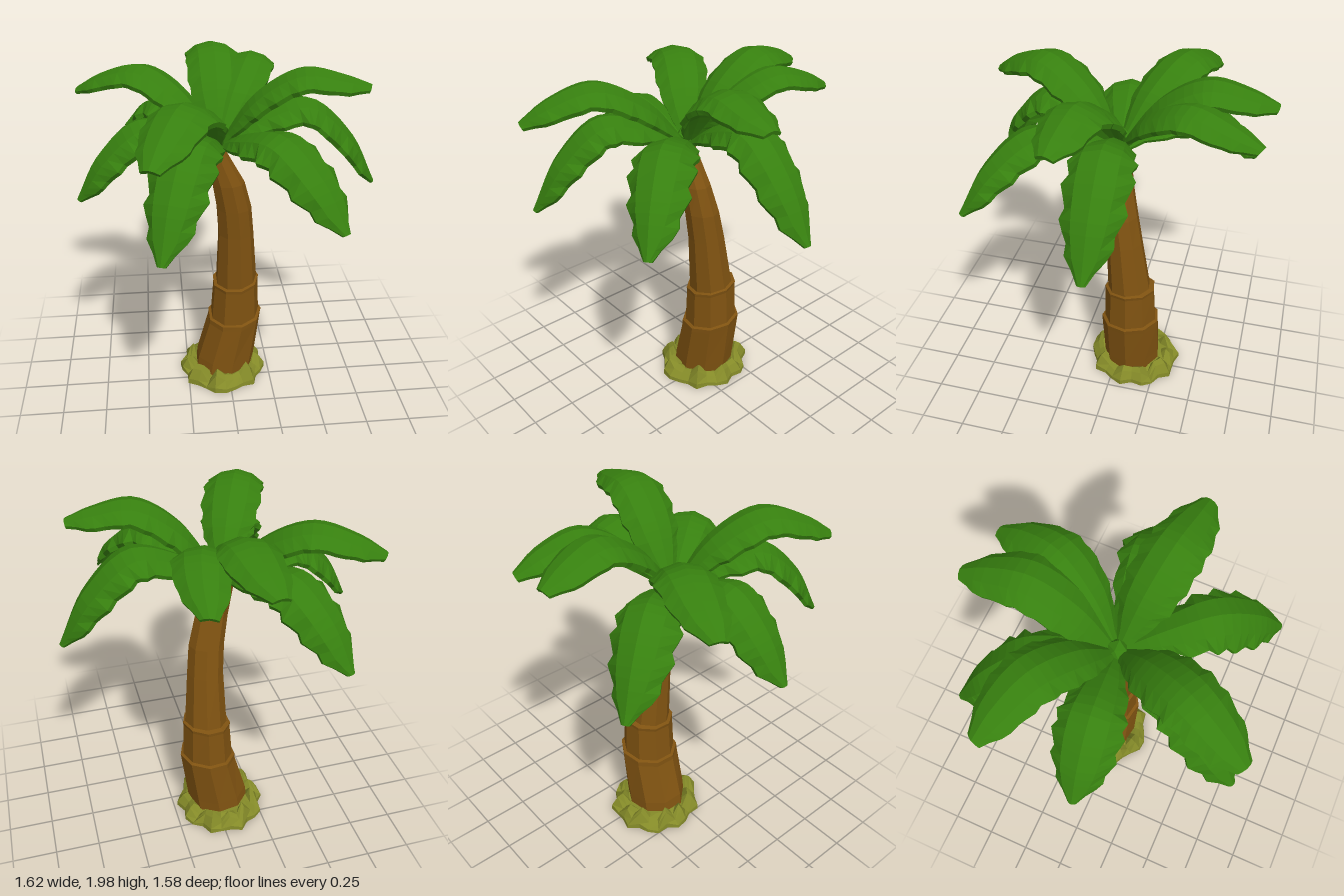
import * as THREE from 'three';

const leafGreen = new THREE.MeshStandardMaterial({ color: 0x37800f });
leafGreen.name = 'leaf green';
const barkBrown = new THREE.MeshStandardMaterial({ color: 0x805311 });
barkBrown.name = 'bark brown';
const grassOlive = new THREE.MeshStandardMaterial({ color: 0x848a28 });
grassOlive.name = 'grass olive';

// Faceted skin over closed rings of points, capped at both ends
function loft(rings) {
  const pos = [];
  const tri = (...pts) => pts.forEach((p) => pos.push(p.x, p.y, p.z));
  const n = rings[0].length;
  for (let i = 0; i < rings.length - 1; i++) {
    for (let j = 0; j < n; j++) {
      const k = (j + 1) % n;
      const [a, b, c, d] = [rings[i][j], rings[i][k], rings[i + 1][k], rings[i + 1][j]];
      tri(a, b, c);
      tri(a, c, d);
    }
  }
  const cap = (ring, flip) => {
    const mid = ring.reduce((s, p) => s.add(p), new THREE.Vector3()).divideScalar(n);
    ring.forEach((p, j) => {
      const q = ring[(j + 1) % n];
      if (flip) tri(mid, q, p);
      else tri(mid, p, q);
    });
  };
  cap(rings[0], true);
  cap(rings[rings.length - 1], false);
  const g = new THREE.BufferGeometry();
  g.setAttribute('position', new THREE.Float32BufferAttribute(pos, 3));
  g.computeVertexNormals();
  return g;
}

function mesh(name, geometry, material) {
  const m = new THREE.Mesh(geometry, material);
  m.name = name;
  return m;
}

// Leaning trunk: three sleeves, each overhanging the next; [x, y, z, rx, rz]
function trunk() {
  const sides = 9;
  const rows = [
    [-0.025, 0.065, -0.09, 0.18, 0.172], [-0.015, 0.14, -0.09, 0.18, 0.172],
    [0.037, 0.4, -0.09, 0.161, 0.172], [0.04, 0.43, -0.09, 0.163, 0.172], [0.04, 0.435, -0.09, 0.146, 0.153],
    [0.045, 0.65, -0.087, 0.134, 0.146], [0.045, 0.67, -0.087, 0.138, 0.148], [0.048, 0.675, -0.082, 0.121, 0.123],
    [0.042, 1.0, -0.05, 0.102, 0.102], [0.028, 1.17, -0.028, 0.099, 0.092],
    [-0.005, 1.33, -0.008, 0.091, 0.078], [-0.078, 1.53, 0, 0.055, 0.055],
  ];
  return loft(rows.map(([x, y, z, rx, rz]) => Array.from({ length: sides }, (_, j) => {
    const a = ((j + 0.25) / sides) * Math.PI * 2;
    const tilt = y > 0.3 && y < 0.8 ? 0.012 * (Math.sin(a) - Math.cos(a)) : 0;
    return new THREE.Vector3(x + Math.sin(a) * rx, y + tilt, z + Math.cos(a) * rz);
  })));
}

// Ragged grass collar, hollow underneath; [radius, height, radius jitter, height jitter]
function grass() {
  const sides = 26;
  const rows = [
    [0.38, 0.22, 0, 0], [0.52, 0.01, 0, 0], [0.97, 0.01, 0.07, 0], [0.96, 0.035, 0.07, 0.012],
    [0.84, 0.075, 0.05, 0.045], [0.74, 0.095, 0.03, 0.05], [0.62, 0.075, 0, 0],
  ];
  return loft(rows.map(([r, y, dr, dy]) => Array.from({ length: sides }, (_, j) => {
    const a = (j / sides) * Math.PI * 2;
    const jr = r + dr * Math.sin(j * 2.3 + 1);
    const jy = y + dy * Math.sin(j * 2.6 + Math.sin(j));
    return new THREE.Vector3(-0.035 + Math.sin(a) * jr * 0.26, jy, -0.105 + Math.cos(a) * jr * 0.272);
  })));
}

// Half widths from stem to tip: upper fronds end blunt, lower ones more pointed
const blunt = [0.04, 0.065, 0.12, 0.155, 0.17, 0.175, 0.173, 0.166, 0.152, 0.122, 0.05];
const pointed = [0.04, 0.06, 0.115, 0.15, 0.17, 0.178, 0.178, 0.168, 0.148, 0.108, 0.022];

// Arched frond with a rounded back and notched edges
function frond({ tip: [x, y, z], peak, scale, notch, bend = 0, roll = 0 }, outline, droop) {
  const root = new THREE.Vector3(-0.06, 1.55, 0);
  const flat = new THREE.Vector3(z - root.z, 0, root.x - x).normalize();
  const at = (f, h, b) => new THREE.Vector3(root.x + (x - root.x) * f, h, root.z + (z - root.z) * f)
    .addScaledVector(flat, b);
  const curve = new THREE.CatmullRomCurve3([
    root, at(0.25, root.y + (peak - root.y) * 0.68, bend * 0.7), at(0.55, peak, bend),
    at(0.83, peak - (peak - y) * 0.42, bend * 0.6), at(1, y, 0),
  ]);
  const steps = 20;
  const rings = [];
  for (let i = 0; i <= steps; i++) {
    const t = i / steps;
    const c = curve.getPointAt(t);
    const tangent = curve.getTangentAt(t);
    const side = flat.clone().applyAxisAngle(tangent, roll * t);
    const up = tangent.clone().cross(side).normalize();
    const k = Math.min(Math.floor(t * 10), 9);
    const w0 = THREE.MathUtils.lerp(outline[k], outline[k + 1], t * 10 - k) * scale;
    const thick = 0.012 + w0 * 0.12;
    const point = (u, lower) => {
      const edge = Math.abs(u) > 0.9;
      const tooth = edge && i > 3 && i < steps ? 1 - notch * ((i + (u > 0 ? 1 : 0)) % 3) / 2 : 1;
      return c.clone().addScaledVector(side, w0 * u * tooth)
        .addScaledVector(up, -droop * w0 * u * u - (lower ? thick : 0));
    };
    rings.push([
      ...[1, 0.55, 0, -0.55, -1].map((u) => point(u, false)),
      ...[-0.95, -0.5, 0, 0.5, 0.95].map((u) => point(u, true)),
    ]);
  }
  return loft(rings);
}

export function createModel() {
  const model = new THREE.Group();
  model.name = 'palmTree';
  model.add(mesh('trunk', trunk(), barkBrown), mesh('grassCollar', grass(), grassOlive));

  const upper = [
    { tip: [0.7, 1.905, 0.15], peak: 1.985, scale: 0.92, notch: 0.1, bend: -0.02 },
    { tip: [-0.42, 1.76, 0.78], peak: 1.93, scale: 0.95, notch: 0.1 },
    { tip: [-0.8, 1.775, -0.38], peak: 1.92, scale: 0.88, notch: 0.08, bend: -0.05 },
    { tip: [-0.1, 1.86, -0.79], peak: 1.975, scale: 0.9, notch: 0.06, bend: -0.035 },
    { tip: [0.21, 1.79, -0.75], peak: 1.93, scale: 0.85, notch: 0.06, bend: -0.06 },
  ];
  const lower = [
    { tip: [0.81, 1.3, -0.03], peak: 1.79, scale: 0.98, notch: 0.17, bend: 0.01 },
    { tip: [0.49, 1.36, 0.7], peak: 1.74, scale: 0.97, notch: 0.18, bend: -0.02, roll: 0.2 },
    { tip: [-0.39, 1.28, 0.775], peak: 1.75, scale: 0.97, notch: 0.17 },
    { tip: [-0.81, 1.31, 0.08], peak: 1.72, scale: 1, notch: 0.13 },
    { tip: [-0.53, 1.31, -0.69], peak: 1.72, scale: 1, notch: 0.17, roll: 0.2 },
  ];
  const crown = new THREE.Group();
  crown.name = 'crown';
  upper.forEach((f) => crown.add(mesh('upperFrond', frond(f, blunt, 0.44), leafGreen)));
  lower.forEach((f) => crown.add(mesh('lowerFrond', frond(f, pointed, 0.52), leafGreen)));

  // Bud where the fronds meet
  const bud = mesh('bud', new THREE.IcosahedronGeometry(0.06, 0), leafGreen);
  bud.position.set(-0.07, 1.58, 0);
  crown.add(bud);
  model.add(crown);
  return model;
}
